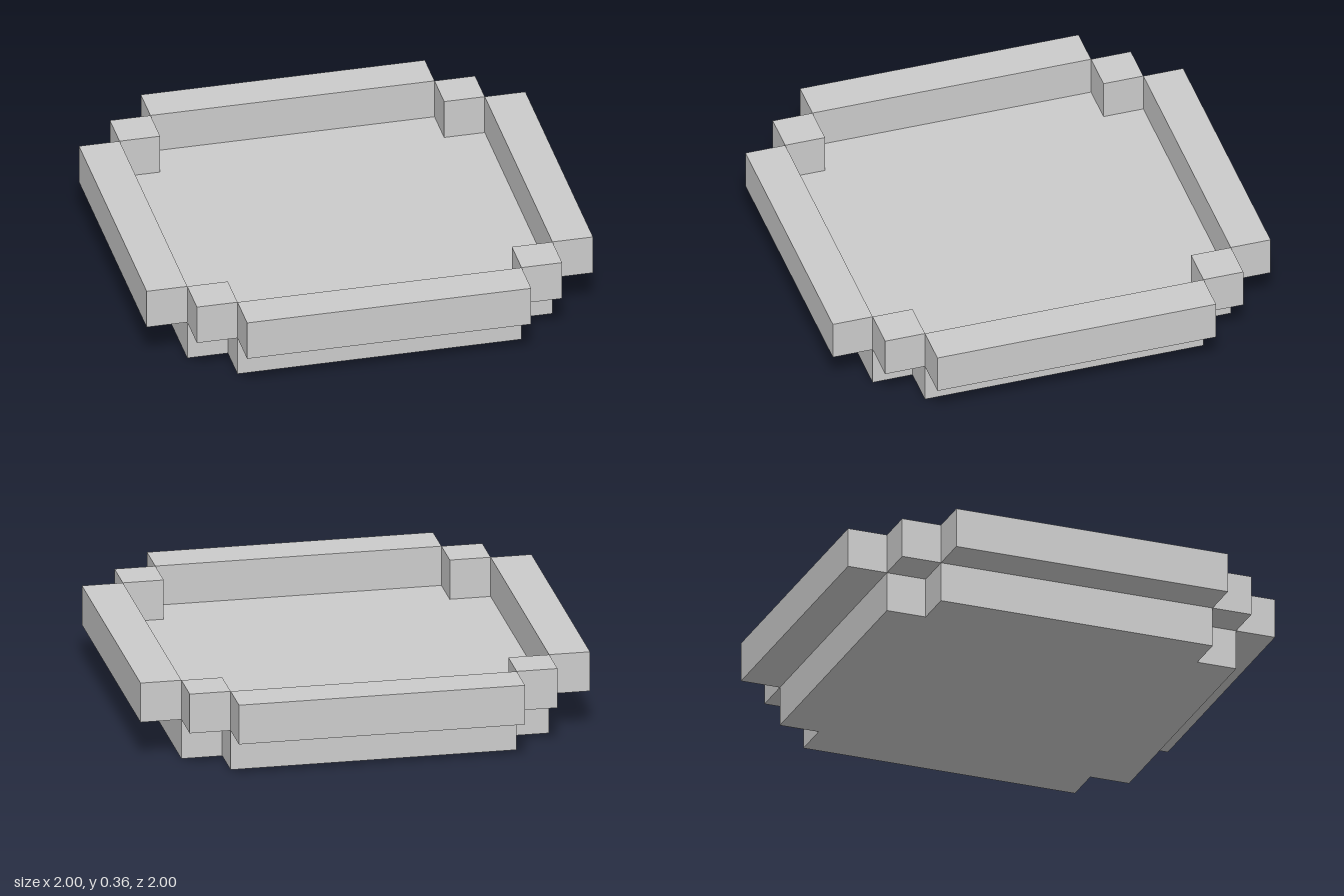
import * as THREE from 'three';

const U = 2 / 11; // one block; the tray is 11 blocks across

export function createModel() {
  const model = new THREE.Group();
  model.name = 'blockTray';
  const material = new THREE.MeshStandardMaterial({ color: 0xcccccc, flatShading: true });

  const add = (name, geometry) => {
    const mesh = new THREE.Mesh(geometry, material);
    mesh.name = name;
    model.add(mesh);
    return mesh;
  };

  // Base: a square slab with one block notched out of each corner
  const a = 3.5 * U, b = 4.5 * U;
  const outline = [
    [a, -b], [a, -a], [b, -a], [b, a], [a, a], [a, b],
    [-a, b], [-a, a], [-b, a], [-b, -a], [-a, -a], [-a, -b],
  ].map(([x, y]) => new THREE.Vector2(x, y));
  const slab = new THREE.ExtrudeGeometry(new THREE.Shape(outline), { depth: U, bevelEnabled: false });
  slab.rotateX(-Math.PI / 2);
  add('base', slab);

  // Rim: one bar outside each edge and one block in each corner notch
  const bar = new THREE.BoxGeometry(7 * U, U, U);
  const block = new THREE.BoxGeometry(U, U, U);
  ['front', 'left', 'back', 'right'].forEach((side, i) => {
    const angle = i * Math.PI / 2;
    const up = new THREE.Vector3(0, 1, 0);

    const rimBar = add(side + 'RimBar', bar);
    rimBar.position.set(0, 1.5 * U, 5 * U).applyAxisAngle(up, angle);
    rimBar.rotation.y = angle;

    const corner = add('cornerBlock' + (i + 1), block);
    corner.position.set(4 * U, 1.5 * U, 4 * U).applyAxisAngle(up, angle);
  });

  return model;
}
